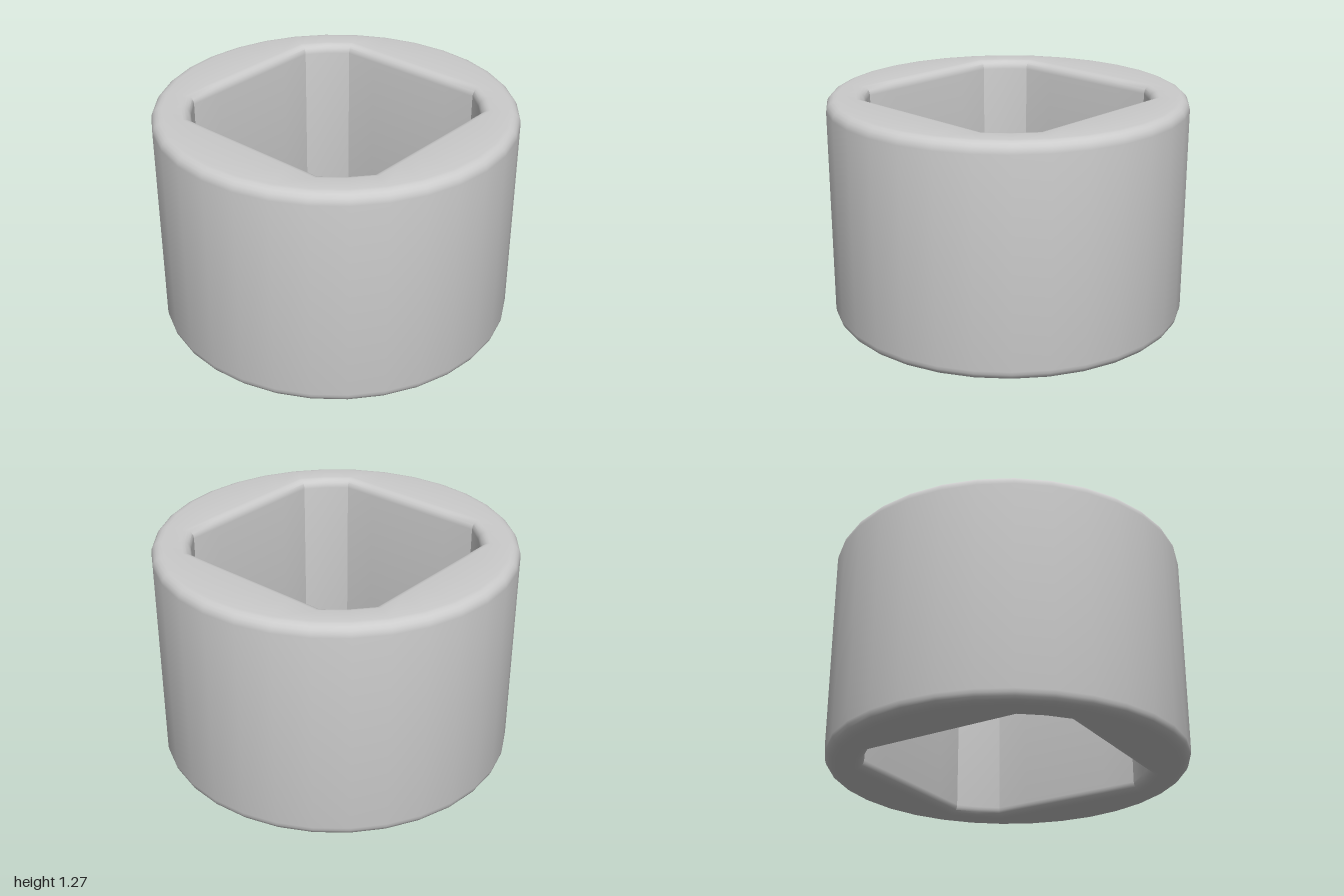
import * as THREE from 'three';
import { toCreasedNormals } from 'three/addons/utils/BufferGeometryUtils.js';

const SIDES = 32, HEIGHT = 1.27, OUTER = 1;
const HALF_HOLE = 0.64, CORNER_RADIUS = 0.785;   // square hole cut off by a circle
const RIM = 0.06, LIP = 0.05, STEPS = 5;         // outer and inner edge fillets

// Point on the outer wall, moved inwards by inset
function outerPoint(i, inset) {
  const a = (i / SIDES) * Math.PI * 2;
  return [(OUTER - inset) * Math.cos(a), (OUTER - inset) * Math.sin(a)];
}

// Point on the hole outline, widened by grow; steps 3 and 5 of each quarter sit on the corners
function holePoint(i, grow) {
  const s = HALF_HOLE + grow, r = CORNER_RADIUS + grow;
  const side = Math.round(i / 8), k = i - side * 8;
  const corner = Math.sqrt(r * r - s * s);
  let x = s, y = s * Math.tan((k * Math.PI) / 16);
  if (Math.abs(k) === 3) y = Math.sign(k) * corner;
  if (Math.abs(k) === 4) {
    x = r * Math.SQRT1_2;
    y = Math.sign(k) * x;
  }
  const t = (side * Math.PI) / 2;
  return [x * Math.cos(t) - y * Math.sin(t), x * Math.sin(t) + y * Math.cos(t)];
}

// Rows of the closed wall section: outer face up, over the top, hole face down, under the bottom
function sectionRows() {
  const rows = [];
  const fillet = (point, radius, top, from, to) => {
    for (let j = 0; j <= STEPS; j++) {
      const a = THREE.MathUtils.lerp(from, to, j / STEPS) * Math.PI / 2;
      const drop = radius * (1 - Math.sin(a));
      rows.push({ point, offset: radius * (1 - Math.cos(a)), y: top ? HEIGHT - drop : drop });
    }
  };
  fillet(outerPoint, RIM, false, 1, 0);
  fillet(outerPoint, RIM, true, 0, 1);
  fillet(holePoint, LIP, true, 1, 0);
  fillet(holePoint, LIP, false, 0, 1);
  return rows;
}

export function createModel() {
  const rows = sectionRows(), positions = [], index = [];
  rows.forEach((row, k) => {
    const next = (k + 1) % rows.length;
    for (let i = 0; i < SIDES; i++) {
      const [x, z] = row.point(i, row.offset);
      positions.push(x, row.y, -z);
      const j = (i + 1) % SIDES;
      const a = k * SIDES + i, b = k * SIDES + j, c = next * SIDES + i, d = next * SIDES + j;
      index.push(a, b, d, a, d, c);
    }
  });
  const geometry = new THREE.BufferGeometry();
  geometry.setAttribute('position', new THREE.Float32BufferAttribute(positions, 3));
  geometry.setIndex(index);

  const ring = new THREE.Mesh(
    toCreasedNormals(geometry, 0.55),
    new THREE.MeshStandardMaterial({ color: 0xcccccc })
  );
  ring.name = 'squareHoleCollar';
  const group = new THREE.Group();
  group.name = 'collar';
  group.add(ring);
  return group;
}
